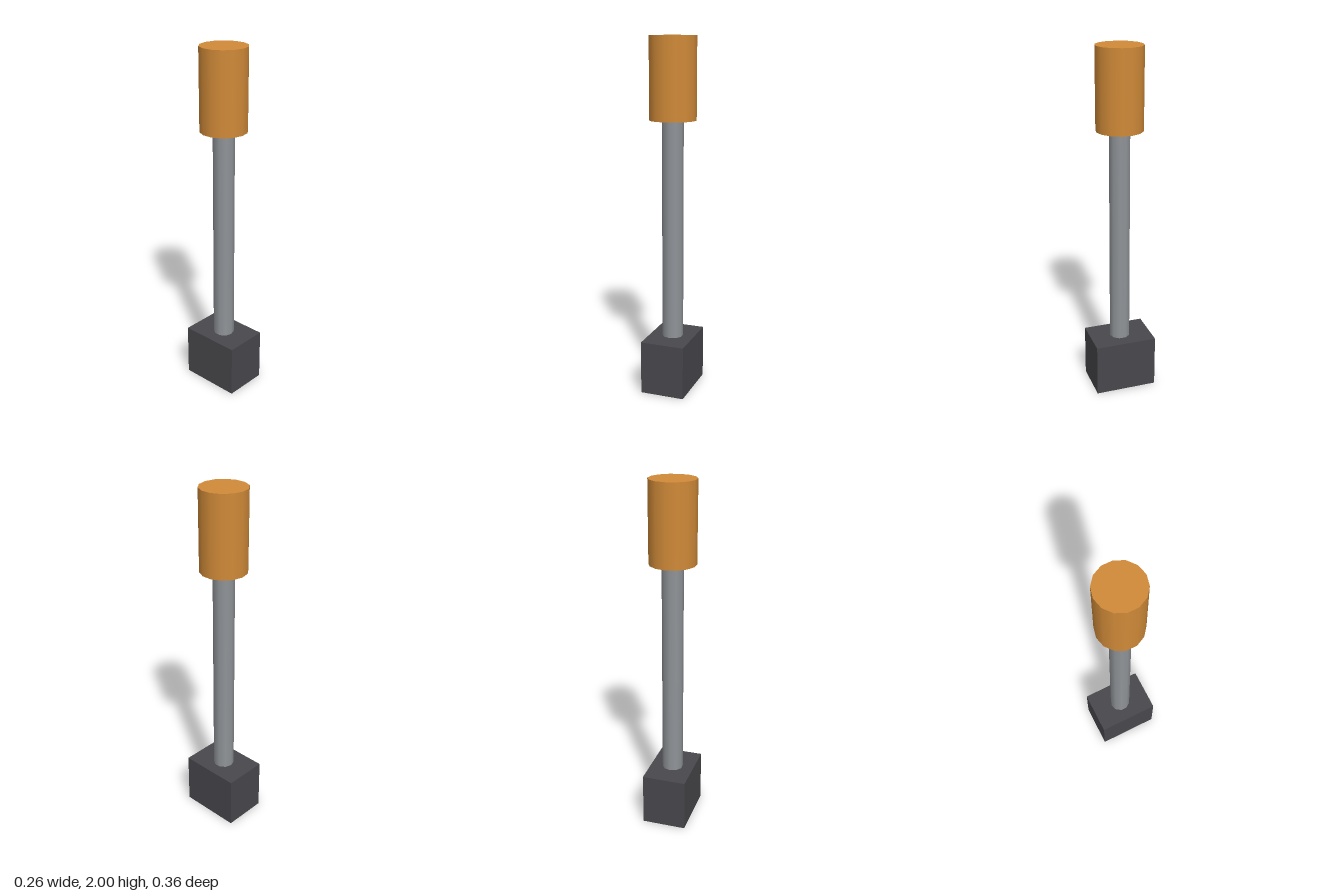
import * as THREE from 'three';

const material = (name, color) => {
  const m = new THREE.MeshStandardMaterial({ color });
  m.name = name;
  return m;
};

export function createModel() {
  const group = new THREE.Group();
  const darkIron = material('darkIron', 0x48484d);
  const steel = material('steel', 0x909498);
  const orange = material('orange', 0xd08a38);

  const add = (name, geometry, mat, bottom, height) => {
    const mesh = new THREE.Mesh(geometry, mat);
    mesh.name = name;
    mesh.position.y = bottom + height / 2;
    group.add(mesh);
  };

  // Heavy block at the foot
  add('block', new THREE.BoxGeometry(0.253, 0.305, 0.356), darkIron, 0, 0.305);
  // Slim ten-sided shaft, seated slightly in the block and grip
  add('shaft', new THREE.CylinderGeometry(0.06, 0.06, 1.27, 10), steel, 0.29, 1.27);
  // Thick fourteen-sided grip
  add('grip', new THREE.CylinderGeometry(0.131, 0.131, 0.452, 14), orange, 1.548, 0.452);

  return group;
}
